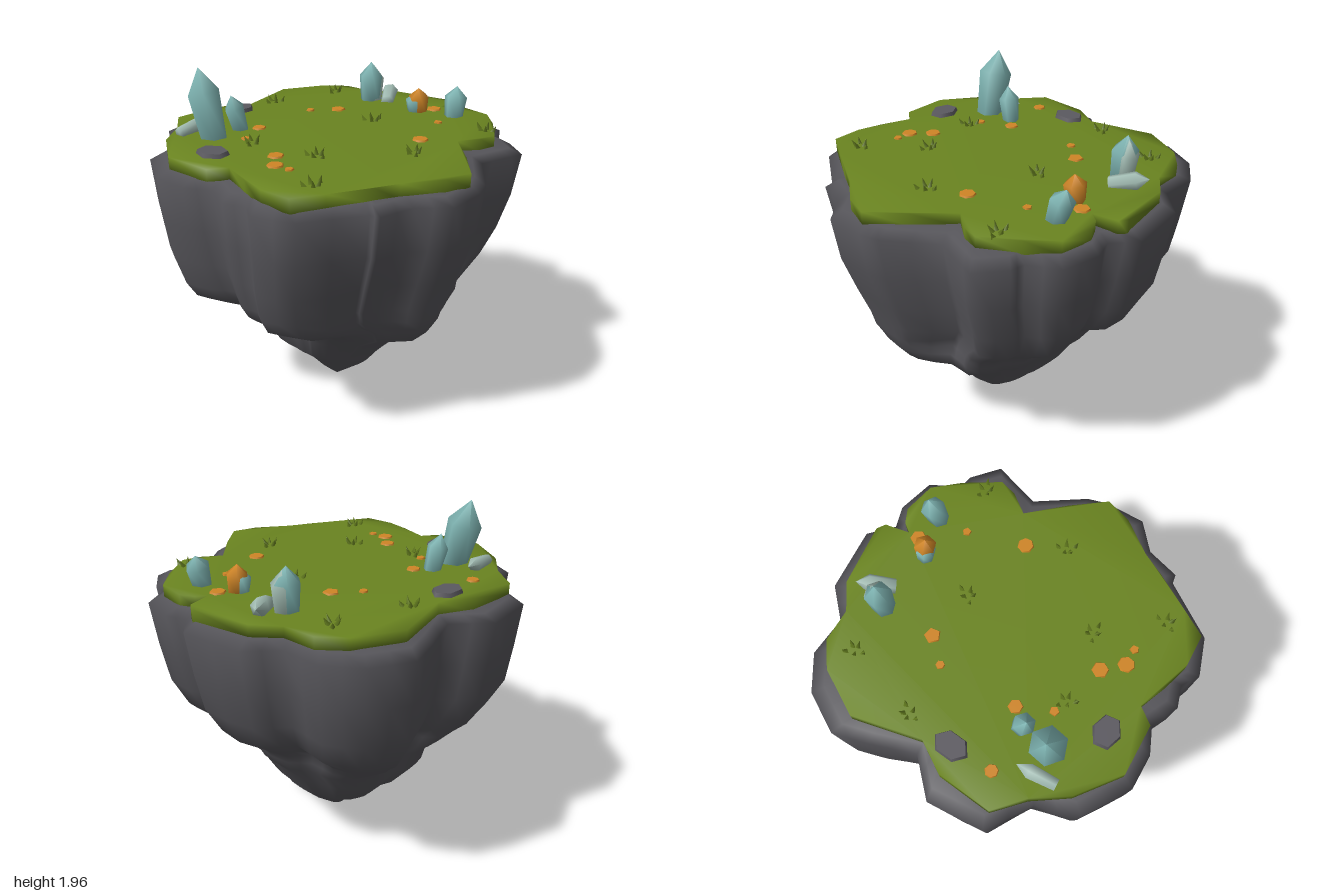
import * as THREE from 'three';
import { mergeVertices } from 'three/addons/utils/BufferGeometryUtils.js';

const mat = (name, color, side = THREE.FrontSide) =>
  Object.assign(new THREE.MeshStandardMaterial({ color, side }), { name });

// Plan outlines as [x, z]: rock rim and turf edge
const RIM = [[-0.08, -1], [0.06, -0.91], [0.17, -0.97], [0.38, -0.96], [0.49, -0.82], [0.57, -0.82], [0.73, -0.73],
  [0.71, -0.59], [0.69, -0.45], [0.91, -0.23], [0.96, -0.13], [1, 0.09], [0.88, 0.24], [0.86, 0.43], [0.81, 0.45],
  [0.67, 0.77], [0.48, 0.88], [0.38, 0.84], [0.27, 0.9], [0.11, 0.86], [-0.02, 0.95], [-0.21, 0.99], [-0.48, 0.89],
  [-0.59, 0.68], [-0.85, 0.58], [-0.93, 0.28], [-0.79, 0.08], [-0.92, -0.15], [-1, -0.32], [-0.92, -0.55],
  [-0.76, -0.7], [-0.54, -0.73], [-0.42, -0.9]];
const TURF = [[-0.05, -0.93], [0.0, -0.91], [0.05, -0.78], [0.08, -0.84], [0.15, -0.89], [0.33, -0.89], [0.47, -0.78],
  [0.62, -0.62], [0.61, -0.52], [0.55, -0.4], [0.75, -0.25], [0.92, -0.1], [0.9, 0.05], [0.8, 0.25], [0.76, 0.38],
  [0.68, 0.6], [0.62, 0.76], [0.45, 0.8], [0.3, 0.79], [0.12, 0.76], [0.07, 0.86], [-0.2, 0.92], [-0.45, 0.8],
  [-0.6, 0.65], [-0.77, 0.55], [-0.8, 0.25], [-0.73, 0.07], [-0.88, -0.28], [-0.79, -0.54], [-0.68, -0.66],
  [-0.5, -0.7], [-0.38, -0.82]];

// Rim with a midpoint added on every side, for smoother folds
const OUTLINE = RIM.flatMap(([x, z], i) => {
  const [u, v] = RIM[(i + 1) % RIM.length];
  return [[x, z], [(x + u) / 2, (z + v) / 2]];
});

// Rock levels: y, reach to -x, +x, -z, +z, strength of the lobes, depth of the folds between them
const LEVELS = [
  [1.535, 0.78, 0.78, 0.78, 0.78, 1, 0], [1.525, 0.93, 0.93, 0.93, 0.93, 1, 0], [1.49, 1, 1, 1, 1, 1, 0],
  [1.25, 0.975, 0.97, 0.97, 0.985, 1, 0.01], [1.03, 0.95, 0.9, 0.935, 0.955, 0.95, 0.03],
  [0.86, 0.85, 0.84, 0.85, 0.91, 0.9, 0.05], [0.77, 0.79, 0.82, 0.72, 0.86, 0.8, 0.07],
  [0.71, 0.72, 0.79, 0.64, 0.75, 0.7, 0.07], [0.665, 0.68, 0.77, 0.61, 0.55, 0.6, 0.04],
  [0.59, 0.58, 0.72, 0.56, 0.46, 0.5, 0.02], [0.48, 0.55, 0.52, 0.45, 0.42, 0.4, 0], [0.32, 0.41, 0.37, 0.36, 0.35, 0.3, 0],
  [0.25, 0.27, 0.31, 0.3, 0.27, 0.3, 0], [0.17, 0.2, 0.25, 0.22, 0.18, 0.2, 0], [0.05, 0.08, 0.11, 0.08, 0.08, 0.2, 0]];
const FOLDS = [28, 84, 131, 174, 234, 274, 324]; // degrees round the rock

function levelRing([y, x0, x1, z0, z1, k, depth]) {
  return OUTLINE.map(([x, z]) => {
    const r = Math.hypot(x, z), turn = Math.atan2(z, x), deg = THREE.MathUtils.radToDeg(turn);
    const fold = Math.max(...FOLDS.map(f => {
      const d = Math.abs(((deg - f + 540) % 360) - 180);
      return Math.exp(-((d / 13) ** 2));
    }));
    // Corners swell a little low down, except at the front left
    const swell = x > 0 && z > 0 ? 0 : 0.12 * (1 - k) * Math.sin(2 * turn) ** 2;
    const s = (1 + (r - 1) * k) / r * (1 - depth * fold + swell);
    return [x * s * (x < 0 ? x0 : x1), y + depth * fold * 0.3, z * s * (z < 0 ? z0 : z1)];
  });
}

// Joins rings running from top to bottom, then closes on a final point
function loft(rings, tip) {
  const n = rings[0].length, pos = [...rings.flat(2), ...tip], idx = [];
  const end = rings.length * n;
  rings.forEach((ring, r) => {
    for (let i = 0; i < n; i++) {
      const a = r * n + i, b = r * n + (i + 1) % n;
      if (r === rings.length - 1) idx.push(a, b, end);
      else idx.push(a, b, a + n, b, b + n, a + n);
    }
  });
  const g = new THREE.BufferGeometry();
  g.setAttribute('position', new THREE.Float32BufferAttribute(pos, 3));
  g.setIndex(idx);
  g.computeVertexNormals();
  return g;
}

export function createModel() {
  const model = new THREE.Group();
  const rock = mat('rock grey', 0x56555a, THREE.DoubleSide);
  const turf = mat('turf green', 0x6a8420);
  const blade = mat('blade green', 0x667f20, THREE.DoubleSide);
  const teal = mat('crystal teal', 0x7fb5b3);
  const pale = mat('pale crystal', 0xa3bdb4);
  const orange = mat('orange', 0xcf8526);
  const stone = mat('stone grey', 0x5b5960);
  const TOP = 1.59;

  const add = (name, geometry, material, x = 0, y = 0, z = 0) => {
    const m = new THREE.Mesh(geometry, material);
    m.name = name;
    m.position.set(x, y, z);
    model.add(m);
    return m;
  };

  // Floating rock: lobed wall narrowing to a point, rounded over at the rim
  add('rockBody', loft(LEVELS.map(levelRing), [0.05, 0, 0.02]), rock);

  // Turf slab with a wavy lower edge, shaded smoothly over its rim
  const shape = new THREE.Shape(TURF.map(([x, z]) => new THREE.Vector2(x, -z)));
  let slab = new THREE.ExtrudeGeometry(shape, { depth: 0.07, bevelEnabled: false });
  slab.rotateX(-Math.PI / 2);
  slab.deleteAttribute('uv').deleteAttribute('normal');
  slab = mergeVertices(slab);
  const p = slab.attributes.position;
  for (let i = 0; i < p.count; i++) {
    if (p.getY(i) < 0.01) p.setY(i, 0.012 * Math.sin(p.getX(i) * 11 + p.getZ(i) * 7));
  }
  slab.computeVertexNormals();
  add('turf', slab, turf, 0, TOP - 0.07, 0);

  // Crystals: base point, apex point, radius
  const crystal = (name, material, base, apex, r) => {
    const a = new THREE.Vector3(...base), dir = new THREE.Vector3(...apex).sub(a), h = dir.length();
    const prof = [[0, -0.02], [r * 0.8, -0.02], [r, h * 0.64], [0, h]];
    const g = new THREE.LatheGeometry(prof.map(q => new THREE.Vector2(...q)), 6);
    const m = add(name, g, material, ...base);
    m.quaternion.setFromUnitVectors(new THREE.Vector3(0, 1, 0), dir.normalize());
  };
  crystal('tallCrystal', teal, [-0.34, TOP, 0.57], [-0.425, 1.955, 0.59], 0.096);
  crystal('sideCrystal', teal, [-0.36, TOP, 0.385], [-0.37, 1.785, 0.43], 0.058);
  crystal('backCrystal', teal, [-0.35, TOP, -0.57], [-0.36, 1.82, -0.585], 0.073);
  crystal('backCrystalFace', pale, [-0.345, TOP, -0.59], [-0.355, 1.8, -0.603], 0.066);
  crystal('cornerCrystal', teal, [0.22, TOP, -0.72], [0.2, 1.755, -0.76], 0.066);
  crystal('orangeCrystal', orange, [0.02, TOP, -0.63], [0.025, 1.73, -0.62], 0.06);
  crystal('orangeCrystalFace', teal, [0.005, TOP, -0.615], [0.01, 1.7, -0.6], 0.054);
  crystal('fallenCrystal', pale, [-0.47, TOP + 0.015, 0.69], [-0.52, TOP + 0.03, 0.5], 0.042);
  crystal('fallenCrystal', pale, [-0.24, TOP + 0.01, -0.62], [-0.36, TOP + 0.05, -0.76], 0.05);

  // Flat stones and orange pebbles
  const lump = (name, material, x, z, rx, rz, h, turn, sides) => {
    const m = add(name, new THREE.CylinderGeometry(0.9, 1, 1, sides), material, x, TOP + h / 2, z);
    m.scale.set(rx, h, rz);
    m.rotation.y = turn;
  };
  lump('flatStone', stone, -0.66, 0.2, 0.072, 0.1, 0.022, 0.1, 6);
  lump('flatStone', stone, -0.1, 0.72, 0.095, 0.075, 0.022, 0.3, 6);
  [[-0.3, -0.27, 0.045], [-0.39, -0.13, 0.025], [0.41, -0.26, 0.045], [0.26, -0.55, 0.025], [-0.3, 0.3, 0.04],
    [-0.62, 0.43, 0.036], [-0.19, 0.46, 0.027], [0.13, 0.49, 0.045], [0.24, 0.57, 0.045], [0.33, 0.55, 0.025],
    [0.06, -0.72, 0.045]].forEach(([x, z, r], i) => lump('pebble', orange, x, z, r, r, 0.009, i * 0.7, 5 + i % 3));

  // Grass tufts: narrow leaning blades fanned round a centre
  const leaf = new THREE.ConeGeometry(0.016, 0.05, 3);
  leaf.translate(0, 0.022, 0);
  [[-0.62, -0.51], [-0.01, -0.29], [0.52, -0.65], [0.54, -0.08], [-0.68, -0.07], [0.26, 0.33], [-0.11, 0.47],
    [0.56, 0.58]].forEach(([x, z], t) => {
    const tuft = new THREE.Group();
    tuft.name = 'grassTuft';
    tuft.position.set(x, TOP, z);
    for (let i = 0; i < 5; i++) {
      const a = i * 1.26 + t, r = i % 2 ? 0.045 : 0.022;
      const b = new THREE.Mesh(leaf, blade);
      b.name = 'blade';
      b.position.set(Math.cos(a) * r, 0, Math.sin(a) * r);
      b.rotation.set(Math.sin(a) * 0.5, 0, -Math.cos(a) * 0.5);
      b.scale.y = i % 2 ? 0.8 : 1;
      tuft.add(b);
    }
    model.add(tuft);
  });
  return model;
}
